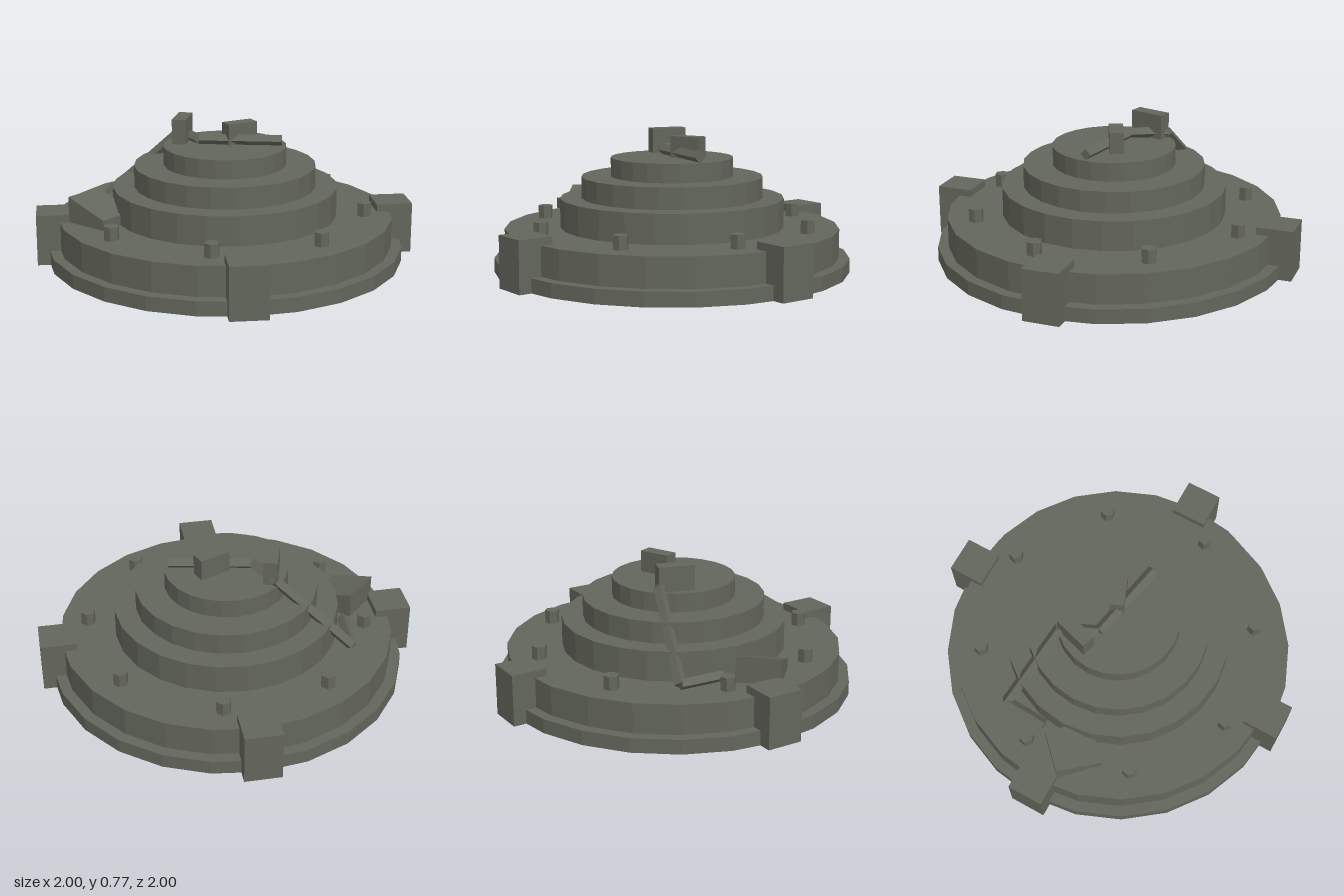
import * as THREE from 'three';

export function createModel() {
  const group = new THREE.Group();
  const metal = new THREE.MeshStandardMaterial({ color: 0x63665b, flatShading: true });
  metal.name = 'oliveGrey';

  const add = (name, geometry, x, y, z, turn = 0) => {
    const mesh = new THREE.Mesh(geometry, metal);
    mesh.name = name;
    mesh.position.set(x, y, z);
    mesh.rotation.y = turn;
    group.add(mesh);
    return mesh;
  };

  // Stepped round body: radius, bottom, top
  const tiers = [
    [1.0, 0, 0.08], [0.94, 0.08, 0.245], [0.63, 0.245, 0.41],
    [0.51, 0.41, 0.53], [0.345, 0.53, 0.635],
  ];
  tiers.forEach(([r, y0, y1], i) =>
    add(`tier${i + 1}`, new THREE.CylinderGeometry(r, r, y1 - y0, 24), 0, (y0 + y1) / 2, 0));

  // Four corner blocks
  for (const sx of [-1, 1]) {
    for (const sz of [-1, 1]) {
      add('cornerBlock', new THREE.BoxGeometry(0.204, 0.287, 0.204), sx * 0.677, 0.1435, sz * 0.677, Math.PI / 4);
    }
  }

  // Ring of hexagonal bolts
  for (let i = 0; i < 8; i++) {
    const a = 0.2 + i * Math.PI / 4;
    add('bolt', new THREE.CylinderGeometry(0.042, 0.042, 0.08, 6), Math.cos(a) * 0.785, 0.28, Math.sin(a) * 0.785);
  }

  // Wedge with its roof falling towards the front
  const wedge = new THREE.BoxGeometry(0.24, 0.15, 0.26);
  const p = wedge.attributes.position;
  for (let i = 0; i < p.count; i++) {
    if (p.getY(i) > 0 && p.getZ(i) > 0) p.setY(i, p.getY(i) - 0.087);
  }
  add('wedge', wedge, -0.572, 0.315, -0.42);

  // Upright boxes on the top tier
  add('rearBox', new THREE.BoxGeometry(0.2, 0.14, 0.078), -0.065, 0.705, -0.257, 0.5);
  add('frontBox', new THREE.BoxGeometry(0.18, 0.12, 0.08), 0.095, 0.695, 0.03, -0.4);

  // Cable of diamond-section bars running over the steps
  const path = [
    [0.19, 0.662, 0.255], [-0.07, 0.662, -0.13], [0.005, 0.662, -0.33],
    [-0.195, 0.27, -0.71], [-0.385, 0.27, -0.54],
  ].map((v) => new THREE.Vector3(...v));
  for (let i = 0; i + 1 < path.length; i++) {
    const bar = new THREE.CylinderGeometry(0.032, 0.032, path[i].distanceTo(path[i + 1]), 4).rotateX(Math.PI / 2);
    const mid = path[i].clone().lerp(path[i + 1], 0.5);
    add('cableSegment', bar, mid.x, mid.y, mid.z).lookAt(path[i + 1]);
  }

  return group;
}
